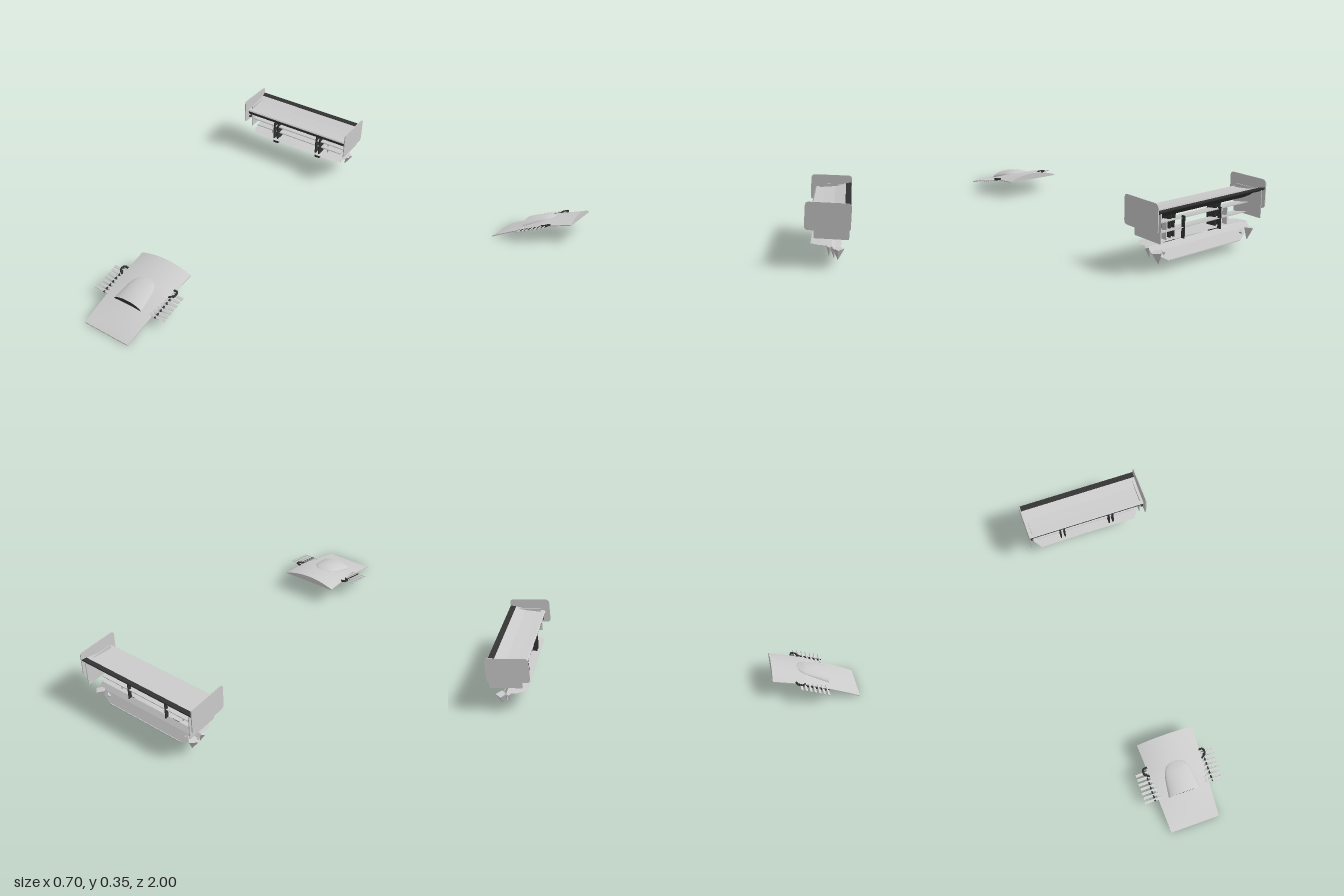
import * as THREE from 'three';

const grey = new THREE.MeshStandardMaterial({ color: 0xcccccc, side: THREE.DoubleSide });
const flat = new THREE.MeshStandardMaterial({ color: 0xcccccc, side: THREE.DoubleSide, flatShading: true });
const dark = new THREE.MeshStandardMaterial({ color: 0x333333, side: THREE.DoubleSide });

function add(parent, name, geometry, material = grey) {
  const mesh = new THREE.Mesh(geometry, material);
  mesh.name = name;
  parent.add(mesh);
  return mesh;
}

function box(parent, name, w, h, d, x, y, z, material) {
  const mesh = add(parent, name, new THREE.BoxGeometry(w, h, d), material);
  mesh.position.set(x, y, z);
  return mesh;
}

// Grid surface from a rule f(u, v) -> [x, y, z]
function surface(f, nu, nv) {
  const pos = [], index = [];
  for (let j = 0; j <= nv; j++)
    for (let i = 0; i <= nu; i++) pos.push(...f(i / nu, j / nv));
  for (let j = 0; j < nv; j++)
    for (let i = 0; i < nu; i++) {
      const a = j * (nu + 1) + i, b = a + nu + 1;
      index.push(a, a + 1, b, a + 1, b + 1, b);
    }
  const g = new THREE.BufferGeometry();
  g.setAttribute('position', new THREE.Float32BufferAttribute(pos, 3));
  g.setIndex(index);
  g.computeVertexNormals();
  return g;
}

// Extrude a (z, y) outline along x, centred on x
function alongX(shape, x, width) {
  const s = Array.isArray(shape) ? new THREE.Shape(shape.map(p => new THREE.Vector2(...p))) : shape;
  const g = new THREE.ExtrudeGeometry(s, { depth: width, bevelEnabled: false, curveSegments: 8 });
  return g.translate(0, 0, -width / 2).rotateY(-Math.PI / 2).translate(x, 0, 0);
}

function roundedPlate(z0, z1, y0, y1, r) {
  const s = new THREE.Shape();
  s.moveTo(z0, y0 + r);
  s.lineTo(z0, y1 - r);
  s.quadraticCurveTo(z0, y1, z0 + r, y1);
  s.lineTo(z1 - r, y1);
  s.quadraticCurveTo(z1, y1, z1, y1 - r);
  s.lineTo(z1, y0 + r);
  s.quadraticCurveTo(z1, y0, z1 - r, y0);
  s.lineTo(z0 + r, y0);
  s.quadraticCurveTo(z0, y0, z0, y0 + r);
  return s;
}

// Hood shape rules: t runs from the nose (0) to the rear edge (1)
const lerp = THREE.MathUtils.lerp;
const hoodZ = t => lerp(1, 0.51, t);
const halfWidth = t => lerp(0.137, 0.16, t);
const edgeY = t => t < 0.62 ? 0.08 * Math.pow(t / 0.62, 0.9) : lerp(0.08, 0.1, (t - 0.62) / 0.38);
const topY = (x, t) => edgeY(t) + 0.005 + 0.03 * t * (1 - (x / halfWidth(t)) ** 2);

function buildHood(parent) {
  const hood = new THREE.Group();
  hood.name = 'hood';
  parent.add(hood);
  const X = (u, t) => (u * 2 - 1) * halfWidth(t);
  add(hood, 'hoodTop', surface((u, t) => [X(u, t), topY(X(u, t), t), hoodZ(t)], 24, 24));
  add(hood, 'hoodUnderside', surface((u, t) => [X(1 - u, t), edgeY(t), hoodZ(t)], 2, 24));
  for (const t of [0, 1])
    add(hood, t ? 'hoodRearFace' : 'hoodNose', surface((u, v) =>
      [X(u, t), lerp(edgeY(t), topY(X(u, t), t), t ? 1 - v : v), hoodZ(t)], 24, 1));
  for (const s of [0, 1])
    add(hood, 'hoodEdge', surface((u, v) =>
      [X(s, u), lerp(edgeY(u), topY(X(s, u), u), s ? v : 1 - v), hoodZ(u)], 24, 1));

  // Scoop swelling out of the hood, open at the front
  const scoop = (u, v) => {
    const z = lerp(0.83, 0.655, v), t = (1 - z) / 0.49;
    const w = (0.09 - 0.022 * v) * Math.sqrt(Math.max(0, 1 - v ** 6));
    const a = Math.PI * (1 - u), x = Math.cos(a) * w;
    return [x, topY(x, t) + 0.029 * Math.sin(a) * (1 - v * v), z];
  };
  add(hood, 'scoop', surface(scoop, 24, 20));
  add(hood, 'scoopOpening', surface((u, v) => {
    const [x, y, z] = scoop(u, 0.01);
    return [x, lerp(topY(x, 0.35) + 0.001, y - 0.001, v), z - 0.001];
  }, 24, 1), dark);
}

// Stepped slats beside the hood, with a small curled bracket behind them
function buildLouvers(parent, side) {
  const louver = new THREE.Group();
  louver.name = 'sideLouver';
  parent.add(louver);
  for (let i = 0; i < 7; i++) {
    const z = 0.812 - i * 0.0245, y = 0.06 + i * 0.005;
    const inner = 0.128 + 0.004 * i, outer = 0.222 - 0.002 * (i % 2);
    const slat = box(louver, 'slat', outer - inner, 0.004, 0.015,
      side * (inner + outer) / 2, y, z, flat);
    slat.rotation.x = 0.45;
  }
  const rail = box(louver, 'slatRail', 0.008, 0.008, 0.17, side * 0.165, 0.073, 0.737, dark);
  rail.rotation.x = 0.2;
  const curve = new THREE.CatmullRomCurve3([[0.15, 0.085, 0.69], [0.175, 0.092, 0.67],
    [0.172, 0.098, 0.645], [0.15, 0.095, 0.64]].map(p => new THREE.Vector3(side * p[0], p[1], p[2])));
  add(louver, 'bracket', new THREE.TubeGeometry(curve, 12, 0.006, 6), dark);
}

function buildWing(parent) {
  const wing = new THREE.Group();
  wing.name = 'rearWing';
  parent.add(wing);
  // Main plane: pale skin over a deep dark belly
  add(wing, 'wingSkin', alongX([[-0.8, 0.268], [-0.797, 0.274], [-0.803, 0.279], [-0.85, 0.282],
    [-0.91, 0.289], [-0.968, 0.303], [-0.968, 0.298], [-0.91, 0.283], [-0.85, 0.275]], 0, 0.69));
  add(wing, 'wingBelly', alongX([[-0.801, 0.268], [-0.806, 0.25], [-0.825, 0.236], [-0.85, 0.232],
    [-0.885, 0.24], [-0.925, 0.262], [-0.967, 0.297], [-0.91, 0.282], [-0.85, 0.274]], 0, 0.688), dark);
  add(wing, 'rearFlap', alongX([[-0.966, 0.296], [-0.969, 0.305], [-0.998, 0.31], [-0.998, 0.303],
    [-0.985, 0.292]], 0, 0.69), dark);

  // Two lower beam elements
  for (const [y, w, z] of [[0.2, 0.65, -0.87], [0.156, 0.6, -0.88]])
    add(wing, 'beamElement', alongX([[z + 0.04, y + 0.004], [z + 0.038, y + 0.009], [z, y + 0.014],
      [z - 0.045, y + 0.025], [z - 0.045, y + 0.021], [z, y + 0.003], [z + 0.03, y]], 0, w));

  for (const s of [-1, 1]) {
    add(wing, 'endPlate', alongX(roundedPlate(-1, -0.772, 0.203, 0.348, 0.022), s * 0.35, 0.005));
    add(wing, 'innerPlate', alongX(roundedPlate(-0.995, -0.82, 0.157, 0.3, 0.006), s * 0.328, 0.004));
    box(wing, 'plateFoot', 0.014, 0.005, 0.16, s * 0.34, 0.226, -0.89, dark);
    // Curved mounting plates
    const strut = new THREE.Shape();
    strut.moveTo(-0.83, 0.09);
    strut.quadraticCurveTo(-0.81, 0.17, -0.825, 0.242);
    strut.lineTo(-0.885, 0.245);
    strut.quadraticCurveTo(-0.87, 0.17, -0.885, 0.09);
    for (const x of [0.138, 0.162])
      add(wing, 'mountingStrut', alongX(strut, s * x, 0.007), dark);
    box(wing, 'strutFoot', 0.034, 0.012, 0.07, s * 0.15, 0.097, -0.86, dark);
    box(wing, 'thinStay', 0.004, 0.11, 0.02, s * 0.12, 0.18, -0.92, dark);
    box(wing, 'beamStay', 0.006, 0.085, 0.03, s * 0.2, 0.168, -0.88);
  }
}

function buildDiffuser(parent) {
  const diffuser = new THREE.Group();
  diffuser.name = 'diffuser';
  parent.add(diffuser);
  // Sloping deck
  add(diffuser, 'deck', surface((u, v) => {
    const x = (u * 2 - 1) * lerp(0.29, 0.325, Math.min(1, v * 2));
    return [x, 0.13 - 0.006 * Math.abs(u * 2 - 1) - 0.006 * (1 - v), lerp(-0.805, -0.91, v)];
  }, 8, 4), flat);
  // Rear panel with clipped lower corners
  const rows = [[0.325, 0.124, -0.91], [0.325, 0.1, -0.928], [0.235, 0.05, -0.955]];
  add(diffuser, 'rearPanel', surface((u, v) => {
    const [w, y, z] = rows[Math.round(v * 2)];
    return [(u * 2 - 1) * w, y, z];
  }, 8, 2), flat);
  // Floor lip along the lower edge
  box(diffuser, 'floorLip', 0.46, 0.005, 0.04, 0, 0.052, -0.936, flat);
  // Pointed corner fins
  for (const s of [-1, 1])
    for (const [x, y, z, r, h, tilt] of [[0.298, 0.072, -0.945, 0.03, 0.064, 0.15],
      [0.262, 0.066, -0.925, 0.022, 0.052, -0.4], [0.315, 0.09, -0.9, 0.014, 0.06, 0.3]]) {
      const fin = add(diffuser, 'cornerFin', new THREE.ConeGeometry(r, h, 4), flat);
      fin.position.set(s * x, y, z);
      fin.rotation.set(Math.PI, 0, s * tilt);
    }
}

export function createModel() {
  const model = new THREE.Group();
  model.name = 'bodyKit';
  buildHood(model);
  for (const side of [-1, 1]) buildLouvers(model, side);
  buildWing(model);
  buildDiffuser(model);
  return model;
}
